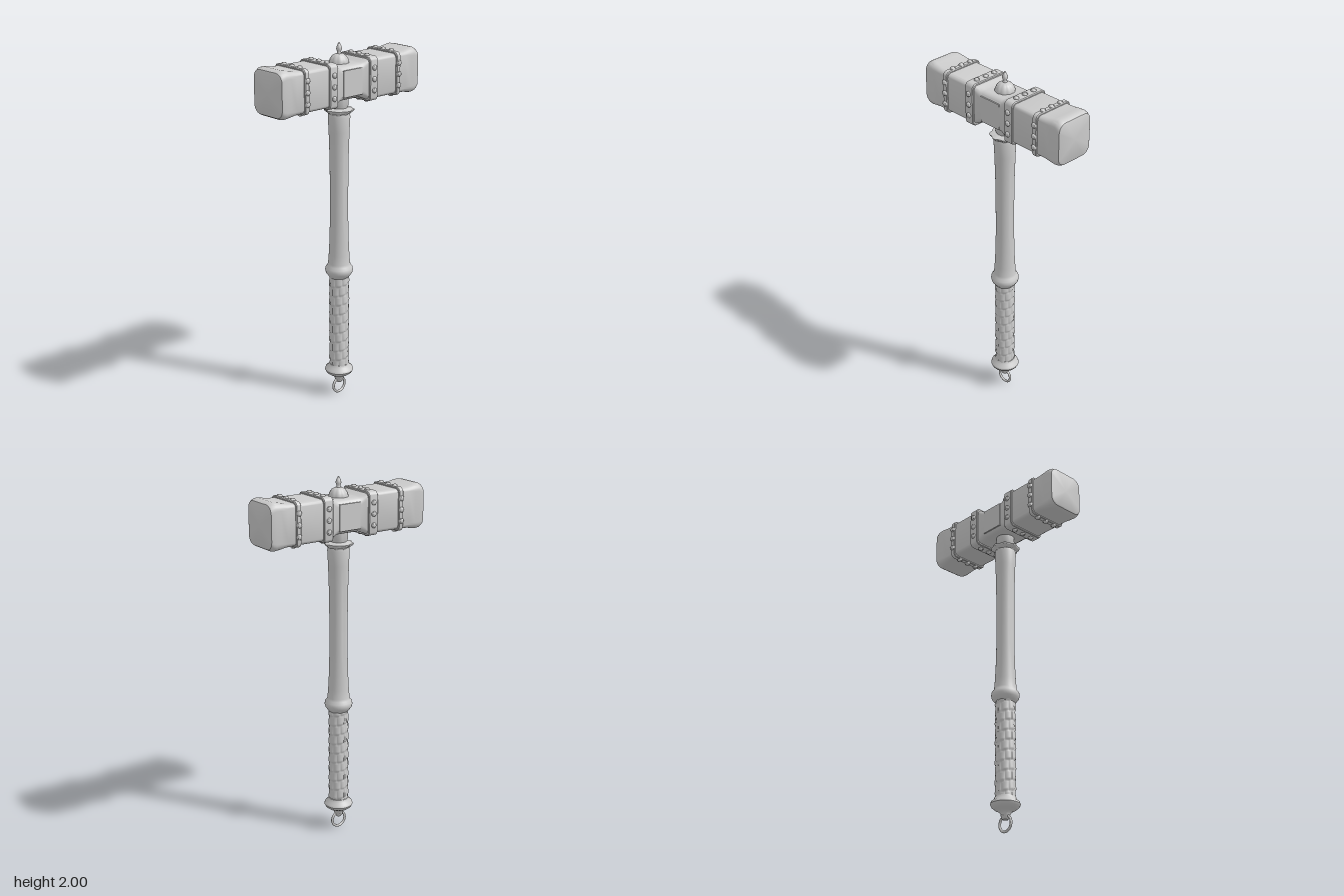
import * as THREE from 'three';
import { toCreasedNormals } from 'three/addons/utils/BufferGeometryUtils.js';

const material = new THREE.MeshStandardMaterial({ color: 0xcccccc });
const HEAD_Y = 1.803;

function add(parent, name, geometry) {
  const mesh = new THREE.Mesh(geometry, material);
  mesh.name = name;
  parent.add(mesh);
  return mesh;
}

// Rounded rectangle outline, counter-clockwise; few corner steps read as a chamfer
function outline(hw, hh, r, steps = 6) {
  const pts = [];
  [[1, 1], [-1, 1], [-1, -1], [1, -1]].forEach(([sx, sy], q) => {
    for (let i = 0; i <= steps; i++) {
      const a = (q + i / steps) * Math.PI / 2;
      pts.push([sx * (hw - r) + r * Math.cos(a), sy * (hh - r) + r * Math.sin(a)]);
    }
  });
  return pts;
}

// Closed loft along z through sections [z, halfWidth, halfHeight, cornerRadius]
function loft(sections, crease = 0.5) {
  const pos = [], index = [];
  const n = outline(1, 1, 0.1).length;
  for (const [z, hw, hh, r] of sections) {
    for (const [x, y] of outline(hw, hh, r)) pos.push(x, y, z);
  }
  const last = sections.length - 1;
  for (let i = 0; i < last; i++) {
    for (let j = 0; j < n; j++) {
      const k = (j + 1) % n;
      const a = i * n + j, b = i * n + k, c = b + n, d = a + n;
      index.push(a, b, c, a, c, d);
    }
  }
  const start = pos.length / 3;
  pos.push(0, 0, sections[0][0], 0, 0, sections[last][0]);
  for (let j = 0; j < n; j++) {
    const k = (j + 1) % n;
    index.push(start, k, j, start + 1, last * n + j, last * n + k);
  }
  const g = new THREE.BufferGeometry();
  g.setAttribute('position', new THREE.Float32BufferAttribute(pos, 3));
  g.setIndex(index);
  return toCreasedNormals(g, crease);
}

// Turned part from [radius, y] points listed bottom to top
function turned(points, sides = 32, crease = 0.6) {
  const g = new THREE.LatheGeometry(points.map(p => new THREE.Vector2(...p)), sides);
  return toCreasedNormals(g, crease);
}

// Move vertices in or out radially by a factor of (angle, y)
function radial(g, factor) {
  const p = g.attributes.position;
  for (let i = 0; i < p.count; i++) {
    const x = p.getX(i), y = p.getY(i), z = p.getZ(i);
    const f = factor(Math.atan2(z, x), y);
    p.setXYZ(i, x * f, y, z * f);
  }
  g.computeVertexNormals();
  return g;
}

function buildHead() {
  const head = new THREE.Group();
  head.name = 'head';
  head.position.y = HEAD_Y;

  // Block with a chamfered waist and flared striking ends
  const half = [
    [0.065, 0.103, 0.09, 0.036],
    [0.075, 0.103, 0.092, 0.036],
    [0.095, 0.105, 0.1, 0.032],
    [0.115, 0.109, 0.108, 0.025],
    [0.33, 0.109, 0.108, 0.025],
    [0.38, 0.109, 0.111, 0.03],
    [0.42, 0.11, 0.119, 0.036],
    [0.445, 0.11, 0.123, 0.04],
    [0.462, 0.11, 0.121, 0.043],
    [0.476, 0.108, 0.113, 0.045],
    [0.48, 0.1, 0.105, 0.042],
  ];
  const mirrored = half.map(([z, ...rest]) => [-z, ...rest]).reverse();
  add(head, 'hammerBlock', loft([...mirrored, ...half]));

  // Raised plates on both cheeks of the waist
  for (const s of [-1, 1]) {
    add(head, 'cheekPlate', new THREE.BoxGeometry(0.01, 0.14, 0.13)).position.x = s * 0.101;
  }

  // Straps with three rivets on each of their four sides
  const rivetGeometry = turned([[0.014, -0.004], [0.014, 0.005], [0.011, 0.009], [0, 0.011]], 14, 0.9);
  for (const [z, w] of [[-0.32, 0.03], [-0.14, 0.058], [0.14, 0.058], [0.32, 0.03]]) {
    const strap = new THREE.Group();
    strap.name = 'strap';
    strap.position.z = z;
    head.add(strap);
    const h = w / 2, o = 0.117, b = 0.004;
    add(strap, 'band', loft([
      [-h, o - b, o - b, 0.024], [-h + b, o, o, 0.026],
      [h - b, o, o, 0.026], [h, o - b, o - b, 0.024],
    ]));
    for (let side = 0; side < 4; side++) {
      const face = new THREE.Group();
      face.name = 'rivetRow';
      face.rotation.z = side * Math.PI / 2;
      strap.add(face);
      for (const x of [-0.06, 0, 0.06]) add(face, 'rivet', rivetGeometry).position.set(x, o, 0);
    }
  }
  return head;
}

// Fluted dome and pointed finial on top of the head
function buildFinial() {
  const finial = new THREE.Group();
  finial.name = 'finial';
  const profile = [[0.052, 1.885], [0.051, 1.9], [0.046, 1.915], [0.036, 1.929], [0.022, 1.938], [0, 1.942]];
  const dome = new THREE.LatheGeometry(profile.map(p => new THREE.Vector2(...p)), 64);
  add(finial, 'flutedDome', radial(dome, a => 0.97 + 0.05 * Math.abs(Math.cos(a * 5))));
  add(finial, 'spike', turned([
    [0.014, 1.935], [0.011, 1.945], [0.01, 1.95], [0.015, 1.963],
    [0.014, 1.972], [0.008, 1.987], [0, 2],
  ], 16, 0.9));
  return finial;
}

function buildHandle() {
  const handle = new THREE.Group();
  handle.name = 'handle';

  // Neck and pointed collar beneath the head
  add(handle, 'neck', turned([[0.045, 1.63], [0.043, 1.655], [0.05, 1.67], [0.05, 1.73]]));
  const collar = turned([
    [0.052, 1.61], [0.06, 1.627], [0.078, 1.64], [0.081, 1.648], [0.06, 1.654], [0.04, 1.658],
  ], 64);
  add(handle, 'collar', radial(collar, (a, y) => (y > 1.62 ? 0.95 + 0.05 * Math.cos(8 * a) : 1)));

  // Tapered shaft ending in a swollen ring
  add(handle, 'shaft', turned([
    [0.05, 0.705], [0.06, 0.718], [0.072, 0.733], [0.076, 0.748], [0.074, 0.764], [0.064, 0.776],
    [0.06, 0.79], [0.056, 0.84], [0.052, 0.92], [0.049, 1.05], [0.049, 1.25],
    [0.051, 1.4], [0.055, 1.53], [0.059, 1.61], [0.055, 1.63],
  ]));

  // Grip with staggered, overlapping padded cells
  const low = 0.17, length = 0.55, rows = 10, columns = 8;
  const grip = new THREE.CylinderGeometry(0.05, 0.05, length, 96, 100, true);
  grip.translate(0, low + length / 2, 0);
  add(handle, 'grip', radial(grip, (a, y) => {
    const v = (y - low) / length * rows + a / (2 * Math.PI);
    const row = Math.floor(v), t = v - row;
    const around = Math.abs(Math.sin(columns / 2 * a + row * Math.PI / 2));
    const pad = Math.min(1, t * 5) * (1 - 0.65 * t) * 1.2;
    return 1 + 0.13 * pad * Math.sqrt(around);
  }));

  // Pommel
  add(handle, 'pommel', turned([
    [0, 0.066], [0.014, 0.069], [0.022, 0.08], [0.026, 0.1], [0.036, 0.112], [0.055, 0.122],
    [0.073, 0.136], [0.079, 0.149], [0.075, 0.161], [0.06, 0.173], [0.055, 0.188], [0.04, 0.195],
  ]));

  // Hanging ring with its lug
  const lug = add(handle, 'ringLug', new THREE.TorusGeometry(0.018, 0.008, 10, 24));
  lug.position.y = 0.092;
  const ring = add(handle, 'hangingRing', new THREE.TorusGeometry(0.042, 0.007, 12, 40));
  ring.rotation.y = Math.PI / 2;
  ring.position.y = 0.049;
  return handle;
}

export function createModel() {
  const model = new THREE.Group();
  model.name = 'warHammer';
  model.add(buildHead(), buildFinial(), buildHandle());
  return model;
}
